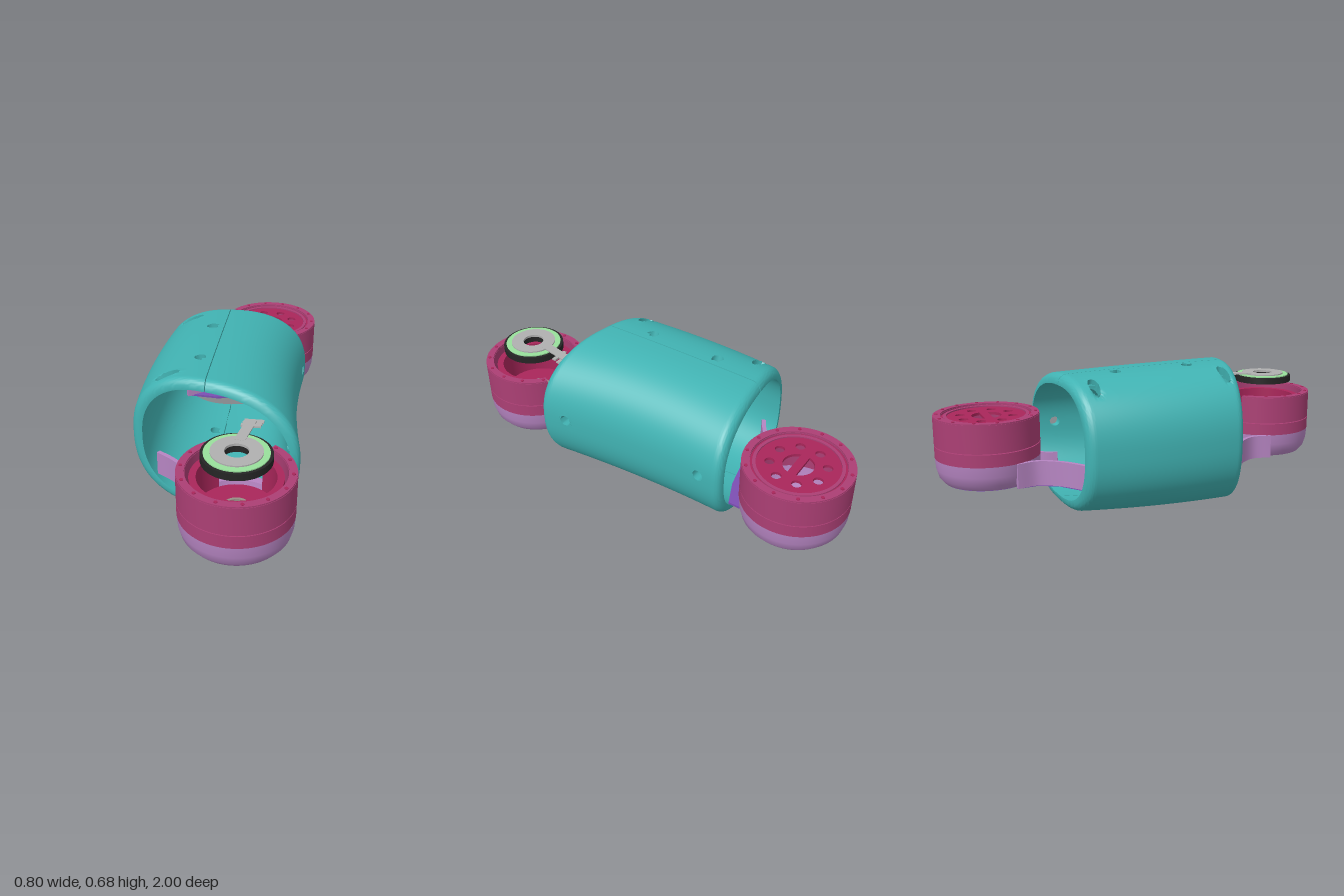
import * as THREE from 'three';
import { toCreasedNormals } from 'three/addons/utils/BufferGeometryUtils.js';

const mat = (color) => new THREE.MeshStandardMaterial({ color, side: THREE.DoubleSide });
const TEAL = mat(0x41b3b3), PINK = mat(0xab3f74), CRIMSON = mat(0xa9265a), LAVENDER = mat(0xb685c2),
  PURPLE = mat(0x7c4fb3), GREEN = mat(0x98e09c), BLACK = mat(0x252525), GREY = mat(0xb0b0b0), STEEL = mat(0x979086);
const PX = 0.147, PZ = 0.75; // pod centre

function add(parent, name, geo, material, x = 0, y = 0, z = 0) {
  const m = new THREE.Mesh(geo, material);
  m.name = name;
  m.position.set(x, y, z);
  parent.add(m);
  return m;
}

// closed ring turned from a profile, with an optional opening towards -z
function turned(pts, gap = 0) {
  const p = [...pts, pts[0]].map(([r, y]) => new THREE.Vector2(r, y));
  return toCreasedNormals(new THREE.LatheGeometry(p, 72, -Math.PI + gap, 2 * Math.PI - 2 * gap), 0.6);
}
const ring = (ri, ro, y0, y1, gap) => turned([[ri, y0], [ro, y0], [ro, y1], [ri, y1]], gap);

// flat plate from a plan outline, drawn with shape y = -z
function plate(shape, y0, y1) {
  const g = new THREE.ExtrudeGeometry(shape, { depth: y1 - y0, bevelEnabled: false, curveSegments: 24 });
  return g.rotateX(-Math.PI / 2).translate(0, y0, 0);
}

// thin curved wall following a path in plan
function curvedWall(path, width, y0, y1) {
  const c = new THREE.CatmullRomCurve3(path.map(([x, z]) => new THREE.Vector3(x, -z, 0)));
  const n = 24, a = [], b = [];
  for (let i = 0; i <= n; i++) {
    const p = c.getPoint(i / n), t = c.getTangent(i / n);
    a.push(new THREE.Vector2(p.x - t.y * width / 2, p.y + t.x * width / 2));
    b.unshift(new THREE.Vector2(p.x + t.y * width / 2, p.y - t.x * width / 2));
  }
  return toCreasedNormals(plate(new THREE.Shape([...a, ...b]), y0, y1), 0.6);
}

// holes through the shell: test picks the side, axis pair gives the drilling plane
const HOLES = [
  ...[-0.19, 0.175].map((z) => ({ a: 'x', c: -0.095, z, ra: 0.027, rz: 0.027, on: () => true })),
  ...[-0.34, 0.31].map((z) => ({ a: 'x', c: -0.22, z, ra: 0.055, rz: 0.024, on: (p) => p.y > 0.35 })),
  ...[-0.37, 0.37].map((z) => ({ a: 'y', c: 0.37, z, ra: 0.027, rz: 0.027, on: (p) => p.x > 0.1 })),
];
const holeDist = (h, p) => (h.on(p) ? Math.hypot((p[h.a] - h.c) / h.ra, (p.z - h.z) / h.rz) : 9);

const WALL = 0.047, LIP = 0.042, SEAM = -0.035;

// point on the shell: angle th around, u along, inner or outer skin
function shellPoint(th, u, inner) {
  const t = u - 0.6 * Math.sin(2 * Math.PI * u) / (2 * Math.PI);
  const pw = (v) => Math.sign(v) * Math.pow(Math.abs(v), 2 / 2.4);
  const cx = pw(Math.cos(th)), cy = pw(Math.sin(th));
  const xn = cx > 0 ? SEAM + 0.42 * cx : SEAM + 0.36 * cx;
  const z0 = -0.425 - (xn + 0.36) * 0.08, z1 = 0.35 + (xn + 0.38) * 0.21;
  const z = z0 + (z1 - z0) * t;
  const xr = 0.345 + 0.05 * ((z + 0.1) / 0.6) ** 2, xl = -0.4 + 0.03 * ((z - 0.05) / 0.45) ** 2;
  const s = Math.max(0, (0.4 - z) / 0.85) ** 2;
  const top = 0.688 - 0.02 * s, bottom = 0.003 + 0.033 * s;
  const d = Math.min(LIP, Math.min(z - z0, z1 - z));
  const inset = inner ? WALL : LIP - Math.sqrt(Math.max(0, LIP * LIP - (LIP - d) ** 2));
  const half = cx > 0 ? xr - SEAM : SEAM - xl;
  return new THREE.Vector3(SEAM + cx * (half - inset), (top + bottom) / 2 + cy * ((top - bottom) / 2 - inset), z);
}

// one half of the shell as a double-skinned grid, with drilled cells left out
function shellHalf(side) {
  const N = 72, M = 96, outer = [], inner = [], pos = [];
  const start = side > 0 ? -Math.PI / 2 : Math.PI / 2;
  for (let i = 0; i <= N; i++) {
    for (let j = 0; j <= M; j++) {
      const th = start + Math.PI * i / N;
      const o = shellPoint(th, j / M, false), n = shellPoint(th, j / M, true);
      o.x += side * 0.002;
      n.x += side * 0.002;
      outer.push(o);
      inner.push(n);
    }
  }
  const id = (i, j) => i * (M + 1) + j;
  const kept = Array.from({ length: N }, (_, i) => Array.from({ length: M }, (_, j) => {
    const c = outer[id(i, j)].clone().add(outer[id(i + 1, j + 1)]).multiplyScalar(0.5);
    return HOLES.every((h) => holeDist(h, c) > 1);
  }));
  // pull vertices near a hole onto its rim
  outer.forEach((p, k) => HOLES.forEach((h) => {
    const d = holeDist(h, p);
    if (d < 0.6 || d > 1.3) return;
    const da = (p[h.a] - h.c) * (1 / d - 1), dz = (p.z - h.z) * (1 / d - 1);
    for (const v of [p, inner[k]]) {
      v[h.a] += da;
      v.z += dz;
    }
  }));
  const quad = (a, b, c, d) => [a, b, c, a, c, d].forEach((v) => pos.push(v.x, v.y, v.z));
  for (let i = 0; i < N; i++) {
    for (let j = 0; j < M; j++) {
      if (!kept[i][j]) continue;
      const k = [id(i, j), id(i + 1, j), id(i + 1, j + 1), id(i, j + 1)];
      quad(...[k[3], k[2], k[1], k[0]].map((q) => outer[q]).reverse());
      quad(...[k[3], k[2], k[1], k[0]].map((q) => inner[q]));
      // close the edges towards missing neighbours
      [[i, j - 1], [i + 1, j], [i, j + 1], [i - 1, j]].forEach(([ni, nj], e) => {
        if (kept[ni] && kept[ni][nj]) return;
        const a = k[e], b = k[(e + 1) % 4];
        quad(outer[b], outer[a], inner[a], inner[b]);
      });
    }
  }
  const g = new THREE.BufferGeometry();
  g.setAttribute('position', new THREE.Float32BufferAttribute(pos, 3));
  return toCreasedNormals(g, 0.7);
}

// pod housing shared by both ends
function housing(name, floorRadius, gap) {
  const g = new THREE.Group();
  g.name = name;
  add(g, 'base', turned([[floorRadius, 0.162], [0.21, 0.162], [0.233, 0.19], [0.244, 0.23], [0.248, 0.281],
    [0.21, 0.281], [0.2, 0.2], [0.19, 0.175], [floorRadius, 0.175]]), LAVENDER);
  add(g, 'lowerBand', ring(0.21, 0.248, 0.281, 0.34, gap), PINK);
  add(g, 'upperBand', ring(0.21, 0.248, 0.344, 0.475, gap), PINK);
  add(g, 'topTrim', ring(0.212, 0.246, 0.475, 0.481, gap), PINK);
  for (let i = 0; i < 14; i++) {
    const a = (i + 0.5) / 14 * 2 * Math.PI;
    if (Math.abs(a - Math.PI) < gap) continue;
    add(g, 'screw', new THREE.CylinderGeometry(0.008, 0.008, 0.004, 10), CRIMSON,
      0.23 * Math.sin(a), 0.482, 0.23 * Math.cos(a));
  }
  return g;
}

export function createModel() {
  const model = new THREE.Group();
  model.name = 'model';

  // split shell and the lap strips behind its seam
  const shell = new THREE.Group();
  shell.name = 'shell';
  add(shell, 'rightShellHalf', shellHalf(-1), TEAL);
  add(shell, 'leftShellHalf', shellHalf(1), TEAL);
  for (const y of [0.63, 0.062]) {
    for (const z of [-0.33, 0, 0.28]) add(shell, 'lapStrip', new THREE.BoxGeometry(0.16, 0.012, 0.1), TEAL, -0.1, y, z);
  }
  model.add(shell);

  // back pod: closed cap with a ring of holes over a purple floor
  const back = housing('backPod', 0.15, 0);
  back.position.set(PX, 0, -PZ);
  const cap = new THREE.Shape().absarc(0, 0, 0.212, 0, Math.PI * 2);
  const cut = (x, y, r) => cap.holes.push(new THREE.Path().absarc(x, y, r, 0, Math.PI * 2, true));
  cut(0, 0, 0.07);
  for (let i = 0; i < 8; i++) {
    const a = (i + 0.5) * Math.PI / 4;
    cut(0.125 * Math.cos(a), 0.125 * Math.sin(a), 0.022);
  }
  add(back, 'cap', plate(cap, 0.455, 0.468), CRIMSON);
  add(back, 'capRim', ring(0.185, 0.2, 0.468, 0.474), PINK);
  add(back, 'capBar', new THREE.BoxGeometry(0.15, 0.012, 0.04), CRIMSON, 0, 0.462, 0);
  add(back, 'floor', new THREE.CylinderGeometry(0.208, 0.208, 0.012, 64), PURPLE, 0, 0.166, 0);
  model.add(back);

  // front pod: open ring with a motor inside and a raised sensor disc
  const front = housing('frontPod', 0.165, 0.6);
  front.position.set(PX, 0, PZ);
  add(front, 'innerRing', ring(0.165, 0.195, 0.2, 0.45, 0.6), CRIMSON);
  add(front, 'innerShelf', ring(0.058, 0.165, 0.27, 0.29), CRIMSON);
  add(front, 'bearing', ring(0.1, 0.14, 0.2, 0.23), BLACK);
  add(front, 'shaft', ring(0.046, 0.058, 0.125, 0.3), STEEL);
  add(front, 'disc', ring(0.055, 0.148, 0.53, 0.562), BLACK);
  add(front, 'greenRing', ring(0.1, 0.135, 0.562, 0.567), GREEN);
  add(front, 'greyPlate', ring(0.05, 0.108, 0.562, 0.573), GREY);
  // flexible tab towards the shell
  const tab = new THREE.Group();
  tab.name = 'tab';
  add(tab, 'tabStrip', new THREE.BoxGeometry(0.045, 0.006, 0.17), GREY, 0.017, 0.571, -0.16).rotation.y = -0.2;
  for (let i = 0; i < 3; i++) {
    add(tab, 'tabRib', new THREE.BoxGeometry(0.085, 0.008, 0.02), GREY, 0.034 + i * 0.004, 0.57 - i * 0.006, -0.2 - i * 0.028);
  }
  front.add(tab);
  model.add(front);

  // necks joining the pods to the shell
  for (const s of [-1, 1]) {
    const neck = new THREE.Group();
    neck.name = s < 0 ? 'backNeck' : 'frontNeck';
    add(neck, 'outerWall', curvedWall([[-0.085, s * 0.67], [-0.07, s * 0.57], [-0.12, s * 0.48], [-0.2, s * 0.41], [-0.265, s * 0.37]],
      0.02, 0.165, 0.282), LAVENDER);
    add(neck, 'innerWall', curvedWall([[0.09, s * 0.53], [0.06, s * 0.49], [0.04, s * 0.44]], 0.015, 0.165, 0.282), LAVENDER);
    model.add(neck);
  }
  const web = new THREE.Shape([[-0.08, 0.67], [-0.07, 0.57], [-0.12, 0.48], [-0.25, 0.38], [-0.1, 0.37],
    [0.12, 0.42], [0.24, 0.47], [0.24, 0.56]].map(([x, y]) => new THREE.Vector2(x, y)));
  web.holes.push(new THREE.Path().absarc(-0.03, 0.53, 0.03, 0, Math.PI * 2, true));
  add(model, 'backNeckFloor', plate(web, 0.16, 0.171), PURPLE);

  return model;
}
